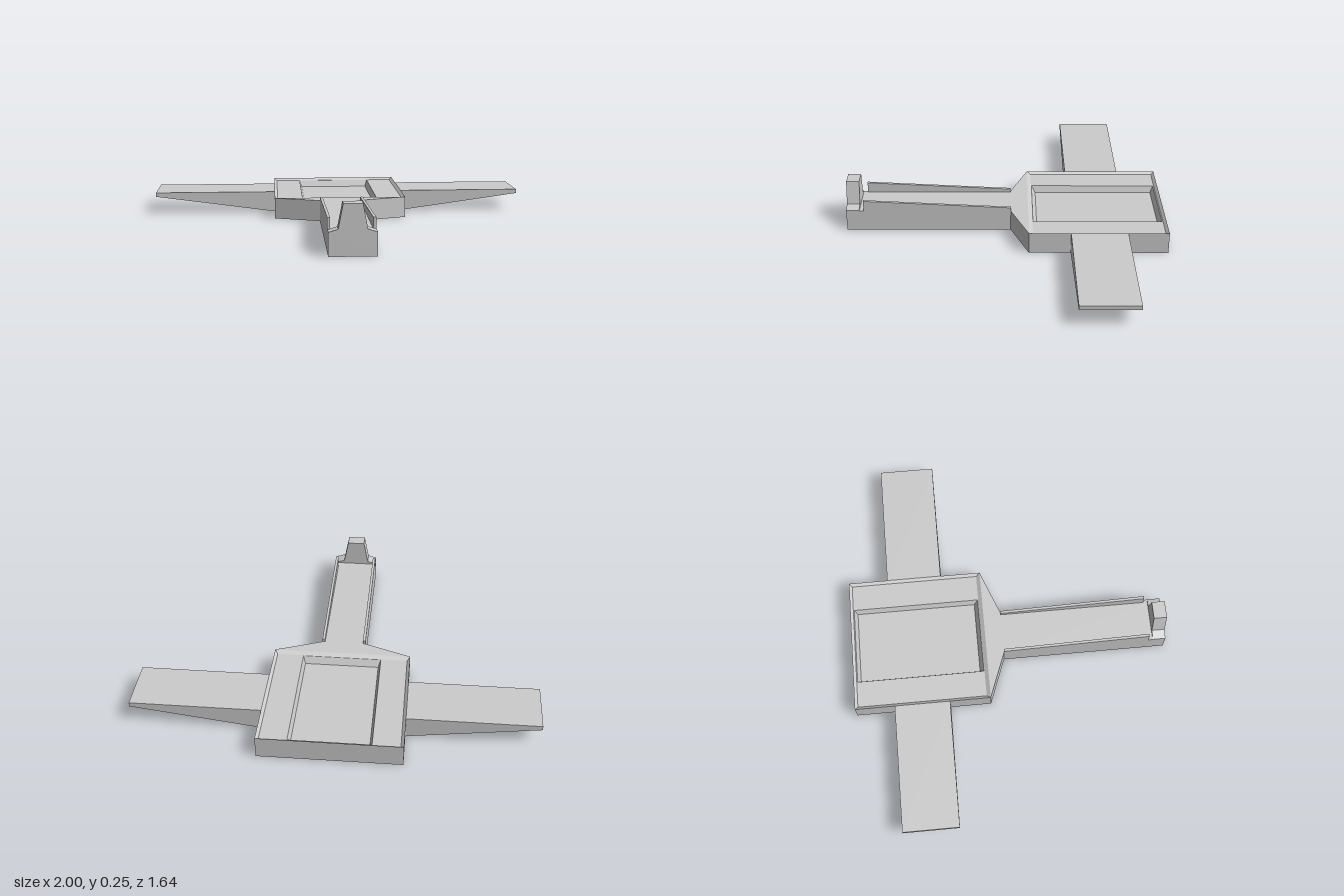
import * as THREE from 'three';

const material = new THREE.MeshStandardMaterial({ color: 0xcccccc, flatShading: true });

function extrude(points, depth) {
  const shape = new THREE.Shape(points.map(([x, y]) => new THREE.Vector2(x, y)));
  return new THREE.ExtrudeGeometry(shape, { depth, bevelEnabled: false });
}

// Skin through rectangular rings [halfWidth, zBack, zFront, y], capped at both ends
function loftRectangles(rings) {
  const positions = [];
  const index = [];
  for (const [w, back, front, y] of rings) {
    positions.push(w, y, front, w, y, back, -w, y, back, -w, y, front);
  }
  for (let r = 0; r < rings.length - 1; r++) {
    for (let i = 0; i < 4; i++) {
      const a = r * 4 + i;
      const b = r * 4 + ((i + 1) % 4);
      index.push(a, b, b + 4, a, b + 4, a + 4);
    }
  }
  const t = (rings.length - 1) * 4;
  index.push(t, t + 1, t + 2, t, t + 2, t + 3, 0, 2, 1, 0, 3, 2);
  const indexed = new THREE.BufferGeometry();
  indexed.setAttribute('position', new THREE.Float32BufferAttribute(positions, 3));
  indexed.setIndex(index);
  const geometry = indexed.toNonIndexed();
  geometry.computeVertexNormals();
  return geometry;
}

export function createModel() {
  const group = new THREE.Group();
  const add = (name, geometry) => {
    const mesh = new THREE.Mesh(geometry, material);
    mesh.name = name;
    group.add(mesh);
  };

  // Square body with a shallow pan and a deeper central channel
  add('body', loftRectangles([
    [0.35, -0.82, -0.12, 0],
    [0.35, -0.82, -0.12, 0.11],
    [0.335, -0.805, -0.14, 0.097],
    [0.2, -0.8, -0.143, 0.097],
    [0.188, -0.785, -0.163, 0.062],
  ]));

  // Tapered shoulder running into the long neck
  const neck = extrude([
    [-0.35, 0.12], [-0.113, 0.03], [-0.113, -0.82],
    [0.113, -0.82], [0.113, 0.03], [0.35, 0.12],
  ], 0.11);
  neck.rotateX(-Math.PI / 2);
  add('neck', neck);

  for (const [side, s] of [['left', 1], ['right', -1]]) {
    // Wing: flat on top, thinning towards the tip from below
    const wing = extrude([[s * 0.35, 0], [s, 0.088], [s, 0.11], [s * 0.35, 0.11]], 0.285);
    wing.translate(0, 0, -0.615);
    add(side + 'Wing', wing);

    // Thin rail along the neck, rising towards the front
    const rail = extrude([[-0.03, 0.1], [0.73, 0.1], [0.73, 0.165], [-0.03, 0.128]], 0.014);
    rail.rotateY(-Math.PI / 2);
    rail.translate(s > 0 ? 0.113 : -0.099, 0, 0);
    add(side + 'Rail', rail);
  }

  // Tapered post with sloping feet at the front end
  const post = extrude([
    [-0.113, 0.1], [0.113, 0.1], [0.113, 0.113], [0.068, 0.127], [0.045, 0.245],
    [-0.045, 0.245], [-0.068, 0.127], [-0.113, 0.113],
  ], 0.067);
  post.translate(0, 0, 0.753);
  add('frontPost', post);

  return group;
}
